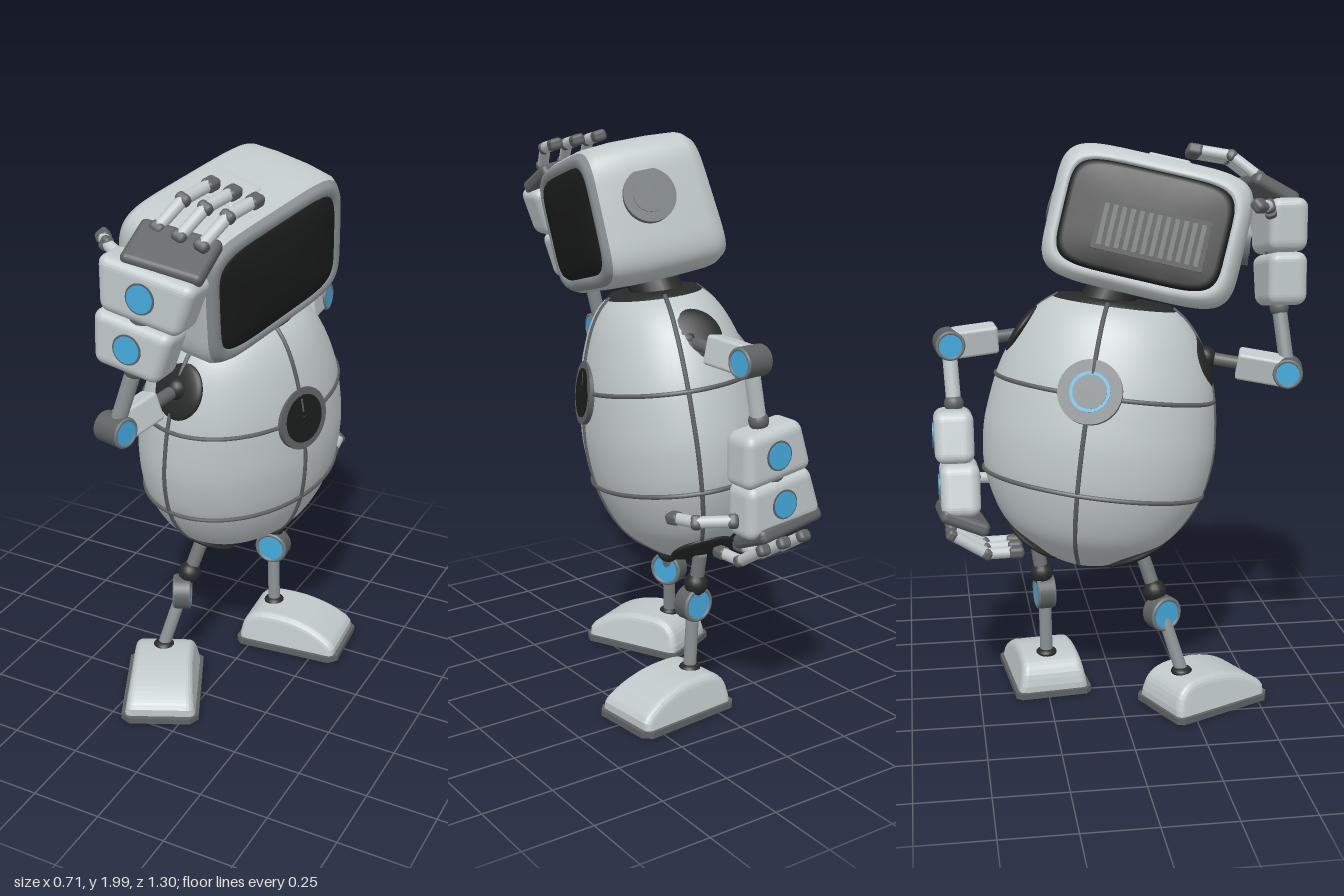
import * as THREE from 'three';
import { RoundedBoxGeometry } from 'three/addons/geometries/RoundedBoxGeometry.js';

const V = (x, y, z) => new THREE.Vector3(x, y, z);
const mat = (name, color) => Object.assign(new THREE.MeshStandardMaterial({ color }), { name });

export function createModel() {
  const root = new THREE.Group();
  root.name = 'robot';
  const shell = mat('shell grey', 0xc0c8ca), trim = mat('trim grey', 0x8c9395), mid = mat('mid grey', 0x717778);
  const joint = mat('joint grey', 0x5e6262), dark = mat('dark socket', 0x282929);
  const screenMat = mat('screen black', 0x1b1c1c), blue = mat('light blue', 0x44aadd);

  const add = (parent, geo, material, name, pos) => {
    const m = new THREE.Mesh(geo, material);
    m.name = name;
    if (pos) m.position.copy(pos);
    parent.add(m);
    return m;
  };
  const group = (parent, name, pos) => {
    const g = new THREE.Group();
    g.name = name;
    if (pos) g.position.copy(pos);
    parent.add(g);
    return g;
  };
  const aim = (m, dir) => { m.quaternion.setFromUnitVectors(V(0, 1, 0), dir.clone().normalize()); return m; };
  const rod = (parent, a, b, r, material, name) => aim(add(parent,
    new THREE.CylinderGeometry(r, r, a.distanceTo(b), 16), material, name, a.clone().lerp(b, 0.5)), b.clone().sub(a));
  const disc = (parent, p, dir, r, h, material, name) =>
    aim(add(parent, new THREE.CylinderGeometry(r, r, h, 32), material, name, p), dir);
  const ball = (parent, p, r, material, name) => add(parent, new THREE.SphereGeometry(r, 16, 12), material, name, p);
  // flattened dome lying on a surface
  const dome = (parent, p, dir, r, flat, material, name) => {
    const m = aim(add(parent, new THREE.SphereGeometry(r, 32, 16), material, name, p), dir);
    m.scale.y = flat;
    return m;
  };
  // round hinge with a rimmed light sunk into both ends
  const hinge = (parent, p, axis, r, h, name) => {
    const g = aim(group(parent, name, p), axis);
    disc(g, V(0, 0, 0), V(0, 1, 0), r, h, joint, 'hingeDrum');
    disc(g, V(0, 0, 0), V(0, 1, 0), r * 0.78, h + 0.006, blue, 'hingeLight');
    for (const s of [1, -1])
      add(g, new THREE.TorusGeometry(r * 0.87, r * 0.12, 8, 32).rotateX(Math.PI / 2), mid, 'hingeRim', V(0, s * h / 2, 0));
  };
  // local x = forward, y = up, z = right-hand side of the robot
  const orient = (g, f, u) => {
    const y = u.clone().normalize(), z = f.clone().cross(y).normalize(), x = y.clone().cross(z);
    g.quaternion.setFromRotationMatrix(new THREE.Matrix4().makeBasis(x, y, z));
  };
  // skin over rounded-rectangle sections [x, halfHeight, halfWidth, lean]
  const loft = (sections, n = 72, power = 5.5) => {
    const pos = [], idx = [];
    const sq = (v) => Math.sign(v) * Math.abs(v) ** (2 / power);
    sections.forEach(([x, h, w, lean = 0], i) => {
      for (let j = 0; j < n; j++) {
        const a = (j / n) * Math.PI * 2, y = h * sq(Math.cos(a));
        pos.push(x + lean * y, y, w * sq(Math.sin(a)));
        if (!i) continue;
        const p = (i - 1) * n + j, q = (i - 1) * n + (j + 1) % n;
        idx.push(p, q, p + n, q, q + n, p + n);
      }
    });
    const g = new THREE.BufferGeometry();
    g.setAttribute('position', new THREE.Float32BufferAttribute(pos, 3));
    g.setIndex(idx);
    g.computeVertexNormals();
    return g;
  };

  // ---- egg-shaped body ----
  const body = group(root, 'body', V(-0.01, 0.98, -0.06));
  orient(body, V(0.949, -0.108, 0.298), V(0.07, 0.987, 0.135));
  const curve = new THREE.SplineCurve([[0, -0.475], [0.22, -0.462], [0.44, -0.42], [0.74, -0.33], [0.94, -0.18], [1, -0.04],
    [0.985, 0.08], [0.92, 0.22], [0.79, 0.35], [0.65, 0.43], [0.5, 0.476]].map((p) => new THREE.Vector2(...p)));
  const A = 0.31, B = 0.41;
  const profile = curve.getPoints(60);
  profile[0].x = 0;
  add(body, new THREE.LatheGeometry(profile, 64).scale(A, 1, B), shell, 'bodyShell');
  const radiusAt = (y) => profile.reduce((b, p) => (Math.abs(p.y - y) < Math.abs(b.y - y) ? p : b)).x;
  const seam = (pts, closed, name) => add(body,
    new THREE.TubeGeometry(new THREE.CatmullRomCurve3(pts, closed), 96, 0.008, 6, closed), joint, name);
  for (const y of [0.175, -0.165]) {
    const r = radiusAt(y), pts = [];
    for (let i = 0; i < 40; i++) pts.push(V(A * r * Math.cos(i * Math.PI / 20), y, B * r * Math.sin(i * Math.PI / 20)));
    seam(pts, true, 'bandSeam');
  }
  // front, sides and back; the side seams sit slightly forward
  for (const a of [0, 1.46, Math.PI, -1.46]) {
    const c = Math.cos(a), s = Math.sin(a);
    seam(profile.filter((p, i) => i % 4 === 0 && p.x > 0.2).map((p) => V(A * p.x * c, p.y, B * p.x * s)), false, 'verticalSeam');
  }
  // neck cap
  add(body, new THREE.LatheGeometry([[0.53, 0.468], [0.48, 0.484], [0, 0.488]].map((p) => new THREE.Vector2(...p)), 48)
    .scale(A, 1, B), dark, 'neckCap');
  // chest and back buttons
  for (const s of [1, -1]) {
    const dir = V(s, s > 0 ? 0.22 : 0.28, 0), at = (d) => V(s * 0.275, s > 0 ? 0.165 : 0.185, 0).addScaledVector(dir.clone().normalize(), d);
    disc(body, at(0), dir, 0.11, 0.05, s > 0 ? joint : mid, 'buttonRing');
    if (s > 0) disc(body, at(0.024), dir, 0.085, 0.008, screenMat, 'chestButton');
    else {
      disc(body, at(0.024), dir, 0.069, 0.006, blue, 'backLightRing');
      disc(body, at(0.025), dir, 0.058, 0.008, mid, 'backButton');
    }
  }
  // shoulder and hip sockets
  for (const s of [1, -1]) {
    dome(body, V(s * 0.028, s > 0 ? 0.31 : 0.335, s > 0 ? 0.325 : -0.305), V(0, 0.5, s), 0.103, 0.24, dark, 'shoulderSocket');
    dome(body, V(0, -0.408, s * 0.185), V(0, -1, s * 0.55), 0.112, 0.18, dark, 'hipSocket');
  }

  // ---- head ----
  rod(root, V(0.02, 1.43, -0.04), V(0.04, 1.56, 0.04), 0.09, dark, 'neck');
  const head = group(root, 'head', V(0.045, 1.703, 0.128));
  orient(head, V(0.96, -0.153, 0.231), V(0.096, 0.965, 0.24));
  add(head, loft([[-0.185, 0.175, 0.272, 0.1], [-0.205, 0.186, 0.284, 0.1], [-0.209, 0.195, 0.293, 0.1], [-0.202, 0.212, 0.312, 0.1],
    [-0.175, 0.23, 0.328, 0.08], [-0.155, 0.235, 0.333, 0.06], [-0.05, 0.24, 0.338], [0.08, 0.24, 0.338], [0.17, 0.233, 0.333],
    [0.19, 0.224, 0.324]]), shell, 'headShell');
  add(head, loft([[0.19, 0.224, 0.324], [0.205, 0.213, 0.313], [0.212, 0.203, 0.302], [0.21, 0.184, 0.284], [0.2, 0.18, 0.28]]), trim, 'screenFrame');
  add(head, loft([[0.2, 0.184, 0.284], [0.212, 0.174, 0.272], [0.222, 0.126, 0.197], [0.228, 0.052, 0.085], [0.229, 0.0001, 0.0001]]), screenMat, 'screen');
  const back = group(head, 'backPanel', V(-0.205, 0, 0));
  back.rotation.z = -0.1;
  add(back, loft([[-0.022, 0.0001, 0.0001], [-0.021, 0.09, 0.14], [-0.017, 0.165, 0.258], [-0.01, 0.18, 0.276], [0.01, 0.186, 0.284]]), screenMat, 'backPlate');
  // rear grille
  add(back, new THREE.BoxGeometry(0.012, 0.17, 0.38), dark, 'grillePlate', V(-0.018, -0.03, 0.03));
  for (let i = 0; i < 12; i++)
    add(back, new THREE.BoxGeometry(0.01, 0.14, 0.016), joint, 'grilleBar', V(-0.022, -0.03, -0.135 + i * 0.03));
  // ear discs and top pad
  for (const s of [1, -1]) {
    disc(head, V(0.025, 0.035, s * 0.334), V(0, 0.15, s), 0.09, 0.03, mid, 'earRing');
    disc(head, V(0.025, 0.037, s * 0.345), V(0, 0.15, s), 0.058, 0.014, mid, 'earCap');
  }
  add(head, new RoundedBoxGeometry(0.17, 0.03, 0.15, 3, 0.012), shell, 'topPad', V(0.01, 0.232, 0.02));

  // ---- arms ----
  const cuffGeo = (w) => {
    const g = new RoundedBoxGeometry(w, 0.18, 0.135, 4, 0.035), p = g.attributes.position;
    for (let i = 0; i < p.count; i++) p.setX(i, p.getX(i) * (0.92 + p.getY(i) * 1.1));
    g.computeVertexNormals();
    return g;
  };
  const finger = (parent, pts, name) => {
    const f = group(parent, name);
    pts.forEach((p, i) => {
      if (i) rod(f, pts[i - 1], p, 0.02, shell, 'fingerSegment');
      const last = i === pts.length - 1;
      const k = add(f, new RoundedBoxGeometry(0.048, last ? 0.055 : 0.036, 0.04, 2, 0.014), joint, last ? 'fingertip' : 'knuckle', p);
      aim(k, i ? p.clone().sub(pts[i - 1]) : pts[1].clone().sub(p));
    });
  };
  const arm = (name, o) => {
    const g = group(root, name);
    const dir = o.elbow.clone().sub(o.shoulder), len = dir.length();
    rod(g, o.shoulder, o.elbow, 0.022, joint, 'shoulderRod');
    ball(g, o.shoulder, 0.04, dark, 'shoulderBall');
    aim(add(g, new RoundedBoxGeometry(0.075, len * 0.56, 0.1, 3, 0.012), shell, 'upperArm',
      o.shoulder.clone().lerp(o.elbow, 0.67)), dir);
    hinge(g, o.elbow, o.axis, 0.052, 0.09, 'elbow');
    rod(g, o.elbow, o.wrist, 0.026, o.forearmMat, 'forearm');
    ball(g, o.wrist, 0.034, joint, 'wrist');
    o.cuffs.forEach(([p, w, flip]) => {
      const c = group(g, 'cuff', p);
      c.rotation.z = o.roll + (flip ? Math.PI : 0);
      add(c, cuffGeo(w), shell, 'cuffShell');
      disc(c, V(0, 0, o.side * 0.067), V(0, 0, 1), 0.05, 0.006, joint, 'cuffLightRing');
      disc(c, V(0, 0, o.side * 0.069), V(0, 0, 1), 0.044, 0.008, blue, 'cuffLight');
    });
    rod(g, o.cuffs[0][0], o.cuffs[1][0], 0.05, joint, 'cuffLink');
    const palm = add(g, new RoundedBoxGeometry(0.27, 0.05, 0.175, 3, 0.02), joint, 'palm', o.palm);
    palm.rotation.set(o.palmTilt, 0, o.roll);
    o.fingers.forEach((f) => finger(g, f, 'finger'));
    finger(g, o.thumb, 'thumb');
  };
  arm('raisedArm', {
    shoulder: V(-0.06, 1.26, 0.31), elbow: V(-0.13, 1.215, 0.59), wrist: V(-0.065, 1.43, 0.57), axis: V(1, 0, 0.25),
    forearmMat: trim, roll: -0.18, side: 1, palm: V(0.06, 1.82, 0.54), palmTilt: 0.5,
    cuffs: [[V(-0.045, 1.525, 0.575), 0.28], [V(0.01, 1.7, 0.58), 0.34]],
    fingers: [0, 1, 2].map((i) => V(i * 0.082, -i * 0.012, i * 0.012)).map((d) =>
      [V(-0.01, 1.875, 0.5), V(0.03, 1.945, 0.41), V(0.06, 1.965, 0.29)].map((p) => p.add(d))),
    thumb: [V(-0.14, 1.77, 0.51), V(-0.2, 1.795, 0.49), V(-0.235, 1.8, 0.45)],
  });
  arm('loweredArm', {
    shoulder: V(0.09, 1.335, -0.3), elbow: V(0.045, 1.312, -0.575), wrist: V(0, 1.11, -0.565), axis: V(1, 0, -0.1),
    forearmMat: shell, roll: -0.16, side: -1, palm: V(-0.1, 0.725, -0.55), palmTilt: 0.4,
    cuffs: [[V(-0.03, 1.005, -0.57), 0.27, true], [V(-0.07, 0.83, -0.555), 0.31, true]],
    fingers: [0, 1, 2].map((i) => V(i * 0.085, -i * 0.008, 0)).map((d) =>
      [V(-0.18, 0.69, -0.59), V(-0.18, 0.615, -0.47), V(-0.175, 0.615, -0.37)].map((p) => p.add(d))),
    thumb: [V(0.1, 0.79, -0.57), V(0.19, 0.78, -0.49), V(0.205, 0.77, -0.39)],
  });

  // ---- legs and feet ----
  const shape = (pts) => new THREE.Shape(pts.map((p) => new THREE.Vector2(...p)));
  const footGeo = () => {
    const top = new THREE.SplineCurve([[-0.17, 0.045], [-0.155, 0.09], [-0.11, 0.115], [0.0, 0.115], [0.09, 0.092], [0.15, 0.06], [0.165, 0.045]]
      .map((p) => new THREE.Vector2(...p))).getPoints(24).map((p) => [p.x, p.y]);
    const g = new THREE.ExtrudeGeometry(shape([[0.165, 0.02], ...top.reverse(), [-0.17, 0.02]]),
      { depth: 0.2, bevelThickness: 0.025, bevelSize: 0.025, bevelSegments: 4 }).translate(0, 0, -0.1);
    const p = g.attributes.position;
    for (let i = 0; i < p.count; i++) {
      p.setZ(i, p.getZ(i) * (1.06 - p.getY(i) * 1.5));
      p.setY(i, Math.max(p.getY(i), 0.012));
    }
    g.computeVertexNormals();
    return g;
  };
  const leg = (name, hip, knee, ankle, center, dir) => {
    const g = group(root, name);
    rod(g, hip, knee, 0.025, mid, 'thigh');
    ball(g, hip.clone().lerp(knee, 0.6), 0.042, dark, 'thighJoint');
    hinge(g, knee, V(-dir.z, 0, dir.x), 0.064, 0.052, 'knee');
    rod(g, knee, ankle, 0.023, trim, 'shin');
    dome(g, ankle, V(0, 1, 0), 0.038, 0.5, dark, 'ankle');
    const foot = group(g, 'foot', center);
    orient(foot, dir, V(0, 1, 0));
    add(foot, footGeo(), shell, 'footShell');
    const sole = new THREE.ExtrudeGeometry(shape([[-0.205, -0.12], [-0.185, -0.14], [0.175, -0.14], [0.205, -0.11],
      [0.205, 0.11], [0.175, 0.14], [-0.185, 0.14], [-0.205, 0.12]]), { depth: 0.022, bevelEnabled: false });
    add(foot, sole.rotateX(-Math.PI / 2).translate(0, 0.004, 0), joint, 'sole');
    for (const x of [-0.09, 0.09]) add(foot, new THREE.BoxGeometry(0.15, 0.008, 0.22), joint, 'solePad', V(x, 0.004, 0));
  };
  leg('rightLeg', V(-0.1, 0.54, 0.09), V(-0.148, 0.35, 0.15), V(-0.195, 0.14, 0.215), V(-0.148, 0, 0.305), V(0.43, 0, 0.9));
  leg('leftLeg', V(0.02, 0.57, -0.28), V(0.03, 0.385, -0.255), V(0.04, 0.14, -0.25), V(0.14, 0, -0.25), V(0.995, 0, -0.1));
  return root;
}
